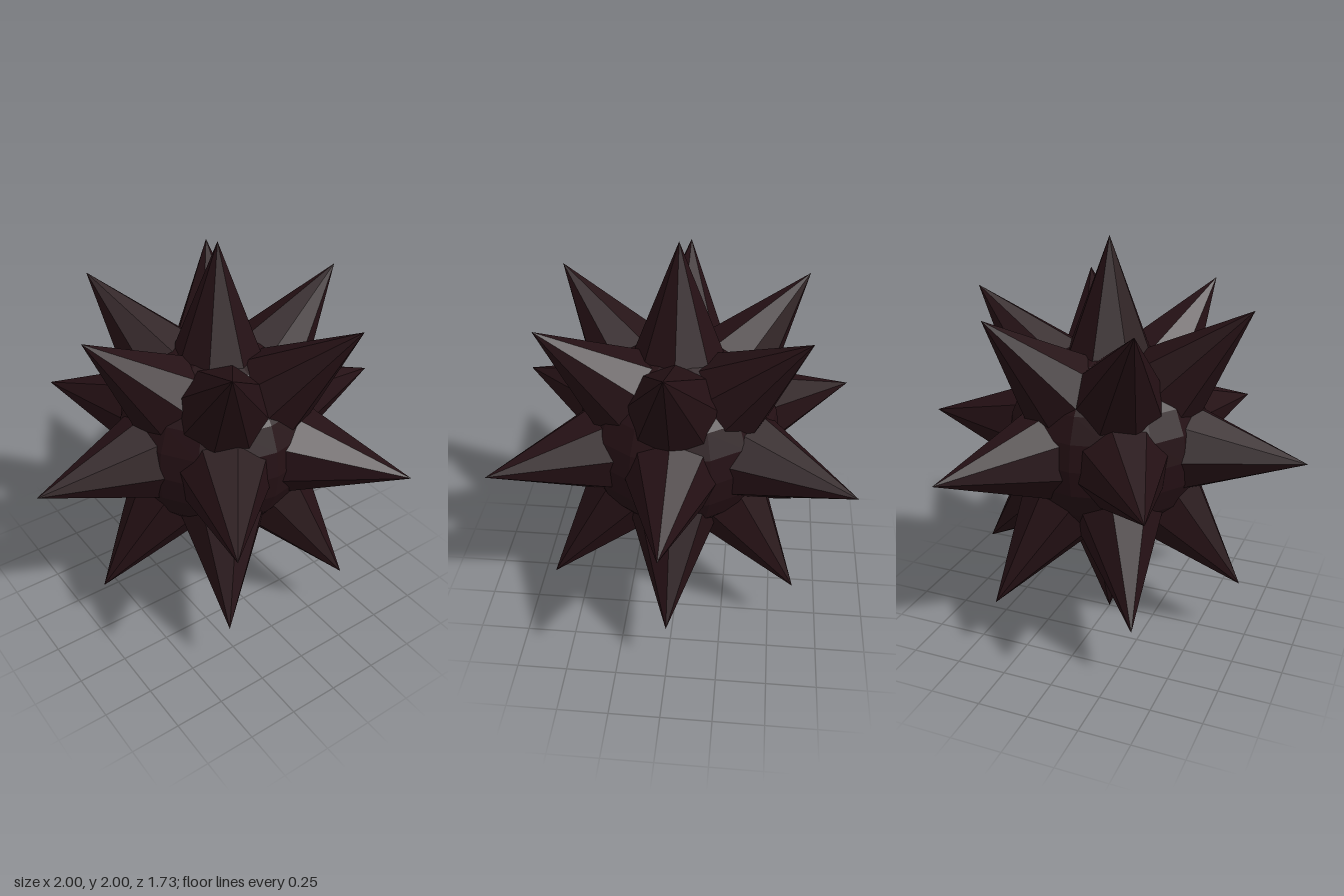
import * as THREE from 'three';

export function createModel() {
  const model = new THREE.Group();
  model.name = 'spikedBall';
  const material = new THREE.MeshStandardMaterial({ color: 0x241014, flatShading: true });

  // Round core, mostly hidden between the spikes
  const core = new THREE.Mesh(new THREE.SphereGeometry(0.5, 16, 12), material);
  core.name = 'core';
  core.position.y = 1;
  model.add(core);

  // One eight-sided spike, sunk into the core, tip at radius 1
  const length = 0.65;
  const spikeGeometry = new THREE.ConeGeometry(0.25, length, 8);
  spikeGeometry.translate(0, 1 - length / 2, 0);
  const up = new THREE.Vector3(0, 1, 0);

  function addSpike(name, elevation, azimuth) {
    const direction = new THREE.Vector3(
      Math.cos(elevation) * Math.cos(azimuth),
      Math.sin(elevation),
      Math.cos(elevation) * Math.sin(azimuth)
    );
    const spike = new THREE.Mesh(spikeGeometry, material);
    spike.name = name;
    spike.position.y = 1;
    spike.quaternion.setFromUnitVectors(up, direction);
    model.add(spike);
  }

  // Poles
  addSpike('topSpike', Math.PI / 2, 0);
  addSpike('bottomSpike', -Math.PI / 2, 0);

  // Three rings of six
  const rings = { lowerSpike: -Math.PI / 4, middleSpike: 0, upperSpike: Math.PI / 4 };
  for (const [name, elevation] of Object.entries(rings)) {
    for (let i = 0; i < 6; i++) addSpike(`${name}${i + 1}`, elevation, (i * Math.PI) / 3);
  }

  return model;
}
